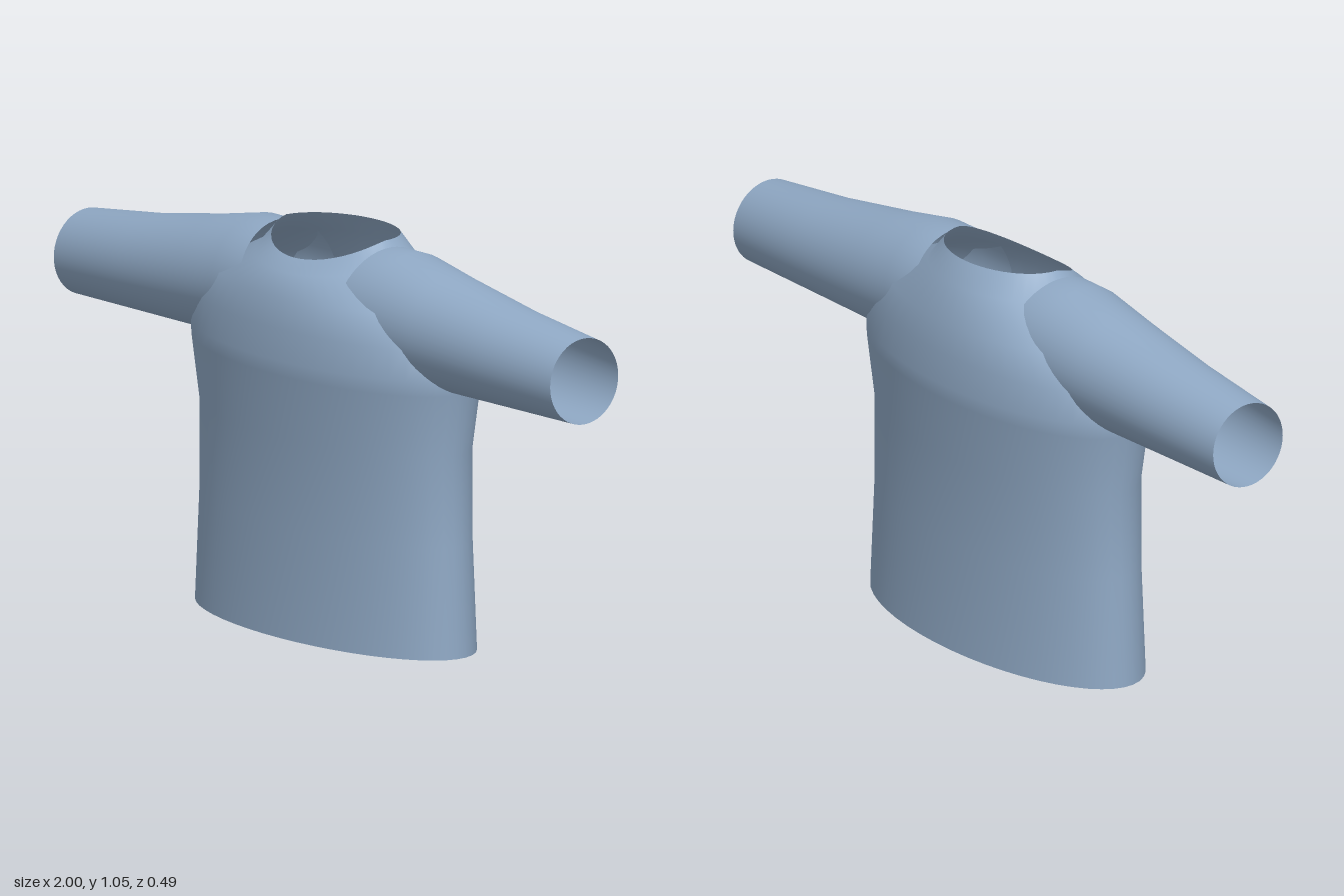
import * as THREE from 'three';

const SIDES = 48;

// Skin of quads through closed rings; point(ring, angle) returns [x, y, z]
function loft(rings, point) {
  const pos = [], idx = [];
  rings.forEach((ring, i) => {
    for (let j = 0; j < SIDES; j++) {
      pos.push(...point(ring, (j / SIDES) * Math.PI * 2));
      if (i === rings.length - 1) continue;
      const a = i * SIDES + j, b = i * SIDES + ((j + 1) % SIDES);
      idx.push(a, a + SIDES, b, b, a + SIDES, b + SIDES);
    }
  });
  const geo = new THREE.BufferGeometry();
  geo.setAttribute('position', new THREE.Float32BufferAttribute(pos, 3));
  geo.setIndex(idx);
  geo.computeVertexNormals();
  return geo;
}

export function createModel() {
  const group = new THREE.Group();
  group.name = 'shirt';
  const fabric = new THREE.MeshStandardMaterial({ color: 0x8fa8c4 });
  fabric.name = 'blueFabric';
  fabric.side = THREE.DoubleSide;

  // Torso, open at hem and neck: height, half width, half depth, front drop, skew
  const torsoRings = [
    [0, 0.522, 0.22, 0, 0.04],
    [0.29, 0.508, 0.21, 0, 0.04],
    [0.53, 0.504, 0.224, 0, 0.05],
    [0.7, 0.535, 0.242, 0, 0.06],
    [0.74, 0.535, 0.246, 0, 0.06],
    [0.82, 0.525, 0.236, 0, 0.06],
    [0.9, 0.44, 0.224, 0, 0.04],
    [0.99, 0.25, 0.182, 0.035, 0.01],
    [1.046, 0.2, 0.14, 0.06, 0],
  ];
  const torso = new THREE.Mesh(loft(torsoRings, ([y, w, d, drop, skew], t) => {
    const s = Math.sin(t);
    return [w * Math.cos(t) + skew * s, y - drop * Math.max(0, s) ** 1.3, d * s];
  }), fabric);
  torso.name = 'torso';
  group.add(torso);

  // Sleeves, open at both ends: x at the top, x at the bottom, top height, half depth
  const bottom = 0.698;
  const sleeveRings = [
    [1, 1, 0.925, 0.114],
    [0.73, 0.73, 0.957, 0.131],
    [0.47, 0.47, 1.0, 0.151],
    [0.31, 0.31, 1.031, 0.163],
    [0.22, 0.16, 1.031, 0.165],
  ];
  const sleeveGeo = loft(sleeveRings, ([xTop, xLow, top, d], t) => {
    const k = (1 + Math.cos(t)) / 2;
    return [xLow + (xTop - xLow) * k, bottom + (top - bottom) * k, d * Math.sin(t)];
  });
  ['leftSleeve', 'rightSleeve'].forEach((name, i) => {
    const sleeve = new THREE.Mesh(sleeveGeo, fabric);
    sleeve.name = name;
    sleeve.rotation.y = i * Math.PI;
    group.add(sleeve);
  });
  return group;
}
